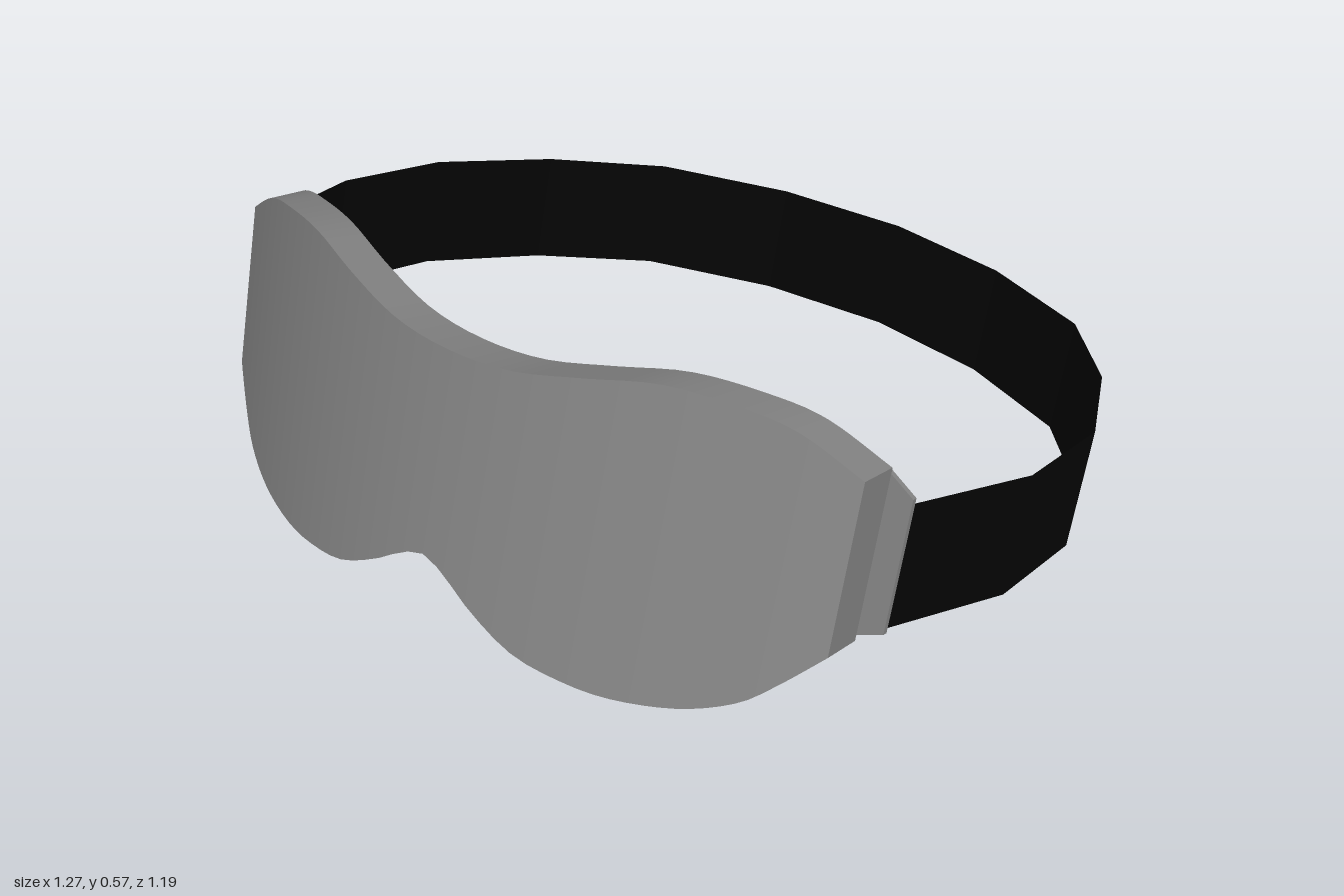
import * as THREE from 'three';

// half outlines of the mask: [distance from the nose line, height]
const TOP = [[0, .277], [.1, .284], [.2, .308], [.295, .33], [.383, .328], [.46, .311], [.54, .262]];
const BOTTOM = [[0, -.024], [.04, -.04], [.08, -.068], [.155, -.108], [.23, -.122], [.3, -.124],
  [.385, -.11], [.45, -.082], [.49, -.046], [.54, .01]];
// half path of the strap, from the back centre to the side of the mask: [x, z]
const STRAP = [[0, -.145], [.213, -.11], [.41, -.011], [.538, .153], [.623, .35], [.633, .56], [.575, .772]];
const HALF = .54;

// smooth height lookup along a mirrored half outline
function outline(half) {
  const mirrored = half.slice(1).reverse().map(([x, y]) => [-x, y]);
  const pts = new THREE.SplineCurve([...mirrored, ...half].map(p => new THREE.Vector2(...p))).getPoints(300);
  return x => {
    let i = 1;
    while (i < pts.length - 1 && pts[i].x < x) i++;
    const a = pts[i - 1], b = pts[i];
    return THREE.MathUtils.lerp(a.y, b.y, THREE.MathUtils.clamp((x - a.x) / (b.x - a.x), 0, 1));
  };
}
const topAt = outline(TOP), bottomAt = outline(BOTTOM);

// curved slab that follows the mask outline, inset at the ends and along the edges
function slab(back, front, endInset, edgeInset, roundEnds) {
  const geo = new THREE.BoxGeometry(2, 1, 1, 64, 1, 1);
  const p = geo.attributes.position;
  for (let i = 0; i < p.count; i++) {
    // columns crowd towards the ends so rounded ends stay smooth
    const t = Math.sin(p.getX(i) * Math.PI / 2);
    const x = t * (HALF - endInset);
    const hi = topAt(x) - edgeInset, lo = bottomAt(x) + edgeInset;
    const scale = roundEnds ? Math.sqrt(Math.max(0, 1 - Math.abs(t) ** 6)) : 1;
    const y = (hi + lo) / 2 + p.getY(i) * (hi - lo) * scale;
    const z = (p.getZ(i) < 0 ? back : front) - .58 * x * x;
    p.setXYZ(i, x, y, z);
  }
  geo.computeVertexNormals();
  return geo;
}

// thin plate that narrows from the end of the mask to the strap
function tabGeometry(side) {
  const corners = [[.53, .014], [.577, .036], [.577, .232], [.53, .258]];
  const shape = new THREE.Shape(corners.map(([x, y]) => new THREE.Vector2(side * x, y)));
  return new THREE.ExtrudeGeometry(shape, { depth: .008, bevelEnabled: false }).translate(0, 0, .772);
}

export function createModel() {
  const model = new THREE.Group();
  model.name = 'eyeMask';
  const grey = new THREE.MeshStandardMaterial({ color: 0x848484 });
  const black = new THREE.MeshStandardMaterial({ color: 0x040404, side: THREE.DoubleSide, flatShading: true });
  const add = (name, geo, mat) => {
    const mesh = new THREE.Mesh(geo, mat);
    mesh.name = name;
    model.add(mesh);
  };

  // padded mask and its inner eye panel
  add('maskBody', slab(.95, 1.016, 0, 0, false), grey);
  add('innerPanel', slab(.94, .96, .05, .035, true), grey);

  // tabs that join the mask to the strap
  add('leftTab', tabGeometry(1), grey);
  add('rightTab', tabGeometry(-1), grey);

  // thin faceted head strap
  const path = [...STRAP.slice(1).reverse().map(([x, z]) => [-x, z]), ...STRAP];
  const ribbon = new THREE.PlaneGeometry(1, 1, path.length - 1, 1);
  const p = ribbon.attributes.position;
  for (let i = 0; i < p.count; i++) {
    const [x, z] = path[i % path.length];
    p.setXYZ(i, x, p.getY(i) > 0 ? .223 : .042, z);
  }
  ribbon.computeVertexNormals();
  add('headStrap', ribbon, black);

  // worn tilt: the mask sits higher than the back of the strap
  model.rotation.x = -THREE.MathUtils.degToRad(15);
  model.position.x = .316;
  const root = new THREE.Group();
  root.name = 'sleepMask';
  root.add(model);
  return root;
}
